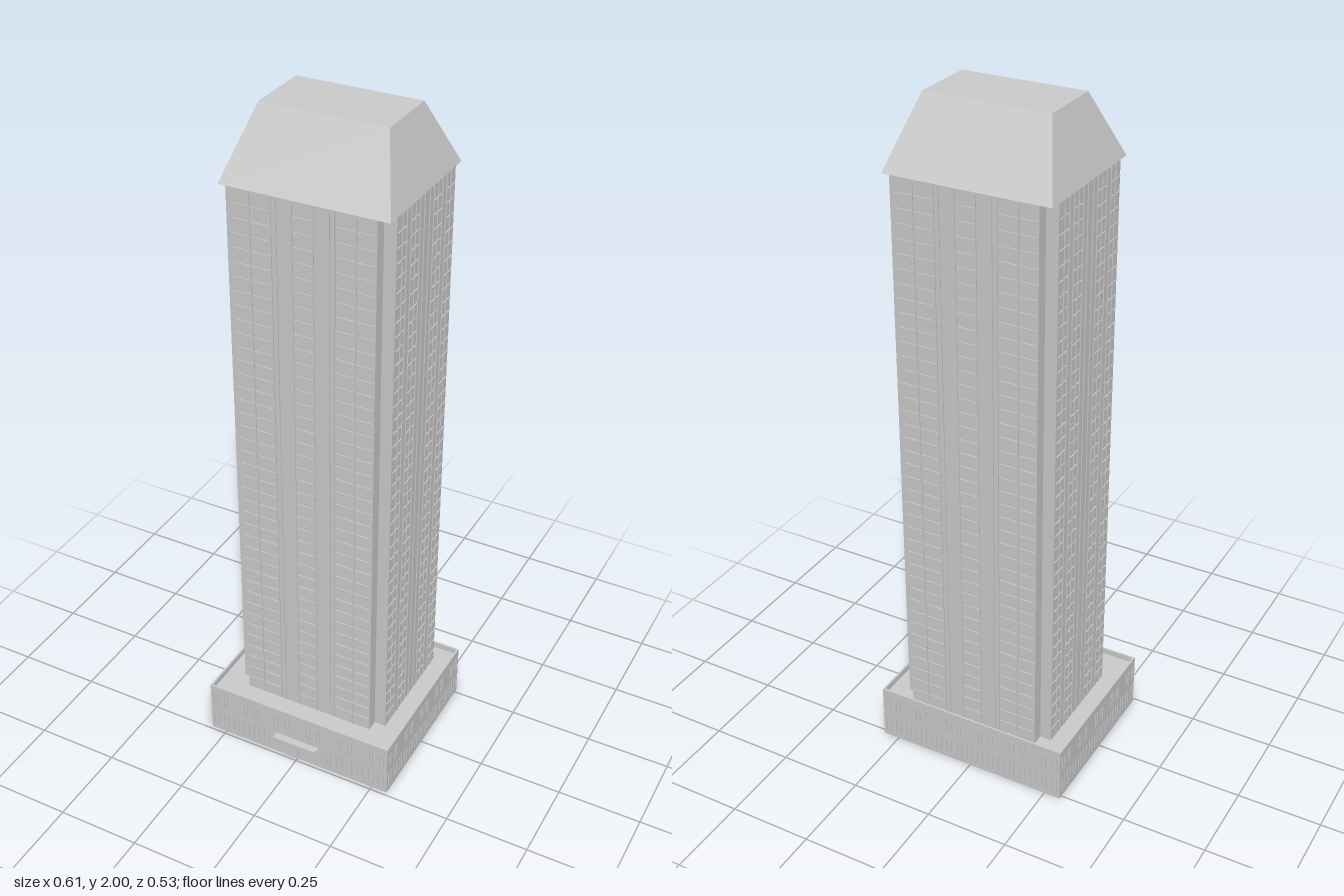
import * as THREE from 'three';
import { mergeGeometries } from 'three/addons/utils/BufferGeometryUtils.js';

const stone = new THREE.MeshStandardMaterial({ color: 0xcccccc });
stone.name = 'pale grey stone';

const BASE = { x: 0.3, z0: -0.262, z1: 0.24, top: 0.17, terrace: 0.152 };
const TOWER = { x: 0.24, z0: -0.24, z1: 0.168, top: 1.81, notch: 0.035 };
const FIN = 0.0015; // fin thickness
const OUT = 0.003; // fin projection

function add(group, name, geometry) {
  const mesh = new THREE.Mesh(geometry, stone);
  mesh.name = name;
  group.add(mesh);
  return mesh;
}

function box(w, h, d, x, y, z) {
  return new THREE.BoxGeometry(w, h, d).translate(x, y, z);
}

// Extrudes a plan given as [x, z] points upwards from y0 to y1
function extrudePlan(points, y0, y1, hole) {
  const toVectors = (list) => list.map(([x, z]) => new THREE.Vector2(x, -z));
  const shape = new THREE.Shape(toVectors(points));
  if (hole) shape.holes.push(new THREE.Path(toVectors(hole)));
  return new THREE.ExtrudeGeometry(shape, { depth: y1 - y0, bevelEnabled: false })
    .rotateX(-Math.PI / 2).translate(0, y0, 0);
}

function rectangle(x, z0, z1) {
  return [[-x, z1], [x, z1], [x, z0], [-x, z0]];
}

// The four walls of a block; u runs along the wall, the wall faces +z locally
function walls(b) {
  const mid = (b.z0 + b.z1) / 2;
  const halfDepth = (b.z1 - b.z0) / 2;
  return [
    { side: 'front', turn: 0, half: b.x, out: halfDepth, mid },
    { side: 'left', turn: Math.PI / 2, half: halfDepth, out: b.x, mid },
    { side: 'back', turn: Math.PI, half: b.x, out: halfDepth, mid },
    { side: 'right', turn: -Math.PI / 2, half: halfDepth, out: b.x, mid },
  ];
}

function place(parts, wall) {
  return mergeGeometries(parts).rotateY(wall.turn).translate(0, 0, wall.mid);
}

function towerFins(wall, wide) {
  const parts = [];
  const y0 = BASE.terrace;
  const height = TOWER.top - y0;
  const edge = wall.half - TOWER.notch;
  const ribs = wide ? [0.03, 0.075, 0.09, 0.15] : [0.015, 0.04, 0.065, 0.09, 0.115, 0.14];

  // Full height ribs
  for (const u of ribs) {
    for (const s of [-1, 1]) {
      parts.push(box(FIN, height, OUT, s * u, y0 + height / 2, wall.out + OUT / 2));
    }
  }
  // Window sills on every floor
  const bays = wide
    ? [[-edge, -0.15], [-0.15, -0.09], [-0.03, 0.03], [0.09, 0.15], [0.15, edge]]
    : [[-edge, -0.115], [-0.09, -0.04], [0.04, 0.09], [0.115, edge]];
  const floors = 40;
  for (let i = 1; i < floors; i++) {
    const y = y0 + (i * height) / floors;
    for (const [a, b] of bays) {
      parts.push(box(b - a - 0.006, FIN, OUT, (a + b) / 2, y, wall.out + OUT / 2));
    }
  }
  return place(parts, wall);
}

function baseFins(wall) {
  const parts = [];
  const z = wall.out + OUT / 2;
  const count = Math.round((wall.half * 2) / 0.036);
  const pitch = (wall.half * 2) / count;
  for (let i = 0; i < count; i++) {
    const u = -wall.half + (i + 0.5) * pitch;
    // Tall ground floor windows
    if (wall.side !== 'front' || Math.abs(u) > 0.075) {
      for (const s of [-1, 1]) parts.push(box(FIN, 0.055, OUT, u + s * 0.008, 0.047, z));
    }
    // Upper windows, grouped in pairs
    if (i % 3 !== 2) {
      for (const s of [-1, 1]) parts.push(box(FIN, 0.045, OUT, u + s * 0.006, 0.122, z));
    }
  }
  return place(parts, wall);
}

export function createModel() {
  const model = new THREE.Group();
  model.name = 'tower block';

  // Hollow base with parapet, and the terrace set just below its rim
  const t = 0.006;
  add(model, 'baseWalls', extrudePlan(
    rectangle(BASE.x, BASE.z0, BASE.z1), 0, BASE.top,
    rectangle(BASE.x - t, BASE.z0 + t, BASE.z1 - t)));
  add(model, 'terrace', extrudePlan(
    rectangle(BASE.x - t, BASE.z0 + t, BASE.z1 - t), BASE.terrace - 0.004, BASE.terrace));

  // Shaft with notched corners
  const { x, z0, z1, notch: n } = TOWER;
  add(model, 'towerShaft', extrudePlan([
    [-x + n, z1], [x - n, z1], [x - n, z1 - n], [x, z1 - n],
    [x, z0 + n], [x - n, z0 + n], [x - n, z0], [-x + n, z0],
    [-x + n, z0 + n], [-x, z0 + n], [-x, z1 - n], [-x + n, z1 - n],
  ], BASE.terrace, TOWER.top));

  // Roof tapering to a flat top
  const roof = new THREE.BoxGeometry(0.48, 0.19, 0.408);
  const p = roof.attributes.position;
  for (let i = 0; i < p.count; i++) {
    if (p.getY(i) > 0) {
      p.setX(i, Math.sign(p.getX(i)) * 0.18);
      p.setZ(i, Math.sign(p.getZ(i)) * 0.096);
    }
  }
  roof.computeVertexNormals();
  add(model, 'roof', roof).position.set(0, 1.905, -0.036);

  // Fine ribs, sills and window frames
  walls(TOWER).forEach((wall, i) => add(model, wall.side + 'TowerFins', towerFins(wall, i % 2 === 0)));
  walls(BASE).forEach((wall) => add(model, wall.side + 'BaseFins', baseFins(wall)));

  // Entrance
  add(model, 'canopy', box(0.144, 0.002, 0.022, 0, 0.075, BASE.z1 + 0.011));
  add(model, 'door', box(0.05, 0.05, 0.002, -0.02, 0.025, BASE.z1 + 0.001));

  return model;
}
